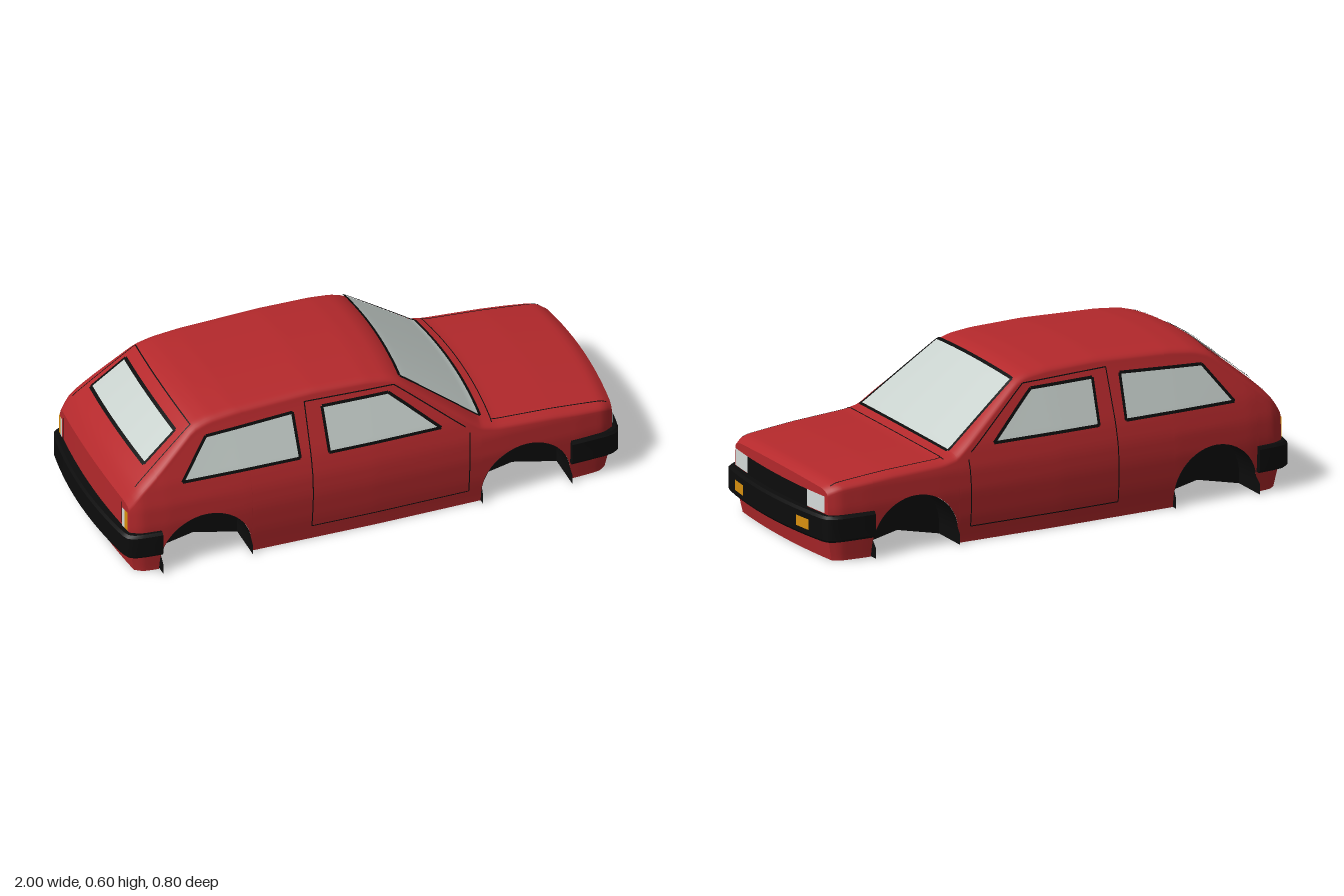
import * as THREE from 'three';
import { toCreasedNormals } from 'three/addons/utils/BufferGeometryUtils.js';

const material = (name, color) => {
  const m = new THREE.MeshStandardMaterial({ color, side: THREE.DoubleSide });
  m.name = name;
  return m;
};
const paint = material('red paint', 0xb5292c);
const black = material('black trim', 0x0c0c0c);
const glass = material('pale glass', 0xc8d1cd);
const amber = material('amber lens', 0xd9900f);
const lens = material('clear lens', 0xd6dcda);

// Piecewise-linear curve with softened corners
const curve = (pts) => {
  const at = (x) => {
    if (x <= pts[0][0]) return pts[0][1];
    for (let i = 1; i < pts.length; i++) {
      const [x0, y0] = pts[i - 1], [x1, y1] = pts[i];
      if (x <= x1) return y0 + (y1 - y0) * (x - x0) / (x1 - x0);
    }
    return pts[pts.length - 1][1];
  };
  return (x) => [-2, -1, 0, 1, 2].reduce((s, k) => s + at(x + k * 0.006), 0) / 5;
};
const clamp = THREE.MathUtils.clamp;

// Centreline height, plan half width, and side section (as a share of the half width)
const topLine = curve([[-0.94, 0.3], [-0.925, 0.335], [-0.895, 0.37], [-0.665, 0.56], [-0.6, 0.58],
  [-0.5, 0.592], [-0.2, 0.605], [0, 0.6], [0.08, 0.59], [0.12, 0.575], [0.42, 0.352], [0.48, 0.338],
  [0.7, 0.326], [0.9, 0.308], [0.925, 0.3], [0.94, 0.285]]);
const halfWidth = curve([[-0.94, 0.347], [-0.92, 0.366], [-0.9, 0.373], [-0.8, 0.383], [-0.5, 0.393],
  [0, 0.399], [0.5, 0.393], [0.8, 0.382], [0.9, 0.373], [0.92, 0.366], [0.94, 0.347]]);
const sideShare = curve([[0, 0.95], [0.1, 0.985], [0.2, 1], [0.28, 0.985], [0.36, 0.935],
  [0.57, 0.735], [0.62, 0.7]]);
const CROWN = 0.018, ROUND = 0.022, END = 0.94;
const sideZ = (u, y) => halfWidth(u) * sideShare(y);
const shoulder = (u) => topLine(u) - CROWN - ROUND;

// Bow the ends in plan and tuck them in at the sill
const warp = (u, y, z) => {
  const bow = 0.025 * (1 - (z / 0.38) ** 2) * clamp((u + 0.2) / 0.35, -1, 1);
  const tuck = Math.sign(u) * 0.025 * Math.max(0, 1 - y / 0.12) * clamp((Math.abs(u) - 0.85) / 0.09, 0, 1);
  return [u + bow - tuck, y, z];
};
const topY = (u, t) => {
  const c = clamp((t - 0.88) / 0.12, 0, 1);
  return topLine(u) - CROWN * t * t - ROUND * (1 - Math.sqrt(1 - c * c));
};

// Surface maps for details: body side, upper surface, nose and tail
const onSide = (s, off) => (u, y) => warp(u, y, s * (sideZ(u, y) + off));
const onTop = (off) => (u, z) => {
  const t = Math.min(1, Math.abs(z) / sideZ(u, shoulder(u)));
  const p = warp(u, topY(u, t), z);
  return [p[0] + off * Math.sign(u) * 0.6, p[1] + off, p[2]];
};
const onEnd = (s, off) => (z, y) => warp(s * (END + off), y, z);

// Indexed grid from fn(i, j)
const grid = (nu, nv, fn) => {
  const pos = [], idx = [];
  for (let i = 0; i <= nu; i++) for (let j = 0; j <= nv; j++) pos.push(...fn(i, j));
  for (let i = 0; i < nu; i++) for (let j = 0; j < nv; j++) {
    const a = i * (nv + 1) + j, b = a + nv + 1;
    idx.push(a, b, a + 1, b, b + 1, a + 1);
  }
  const g = new THREE.BufferGeometry();
  g.setAttribute('position', new THREE.Float32BufferAttribute(pos, 3));
  g.setIndex(idx);
  g.computeVertexNormals();
  return g;
};
// Four-cornered plate laid on a surface map
const patch = (map, [a, b, c, d], nu = 16, nv = 12) => grid(nu, nv, (i, j) => {
  const s = i / nu, t = j / nv;
  const mix = (k) => (a[k] * (1 - s) + b[k] * s) * (1 - t) + (d[k] * (1 - s) + c[k] * s) * t;
  return map(mix(0), mix(1));
});
const rect = (x0, x1, y0, y1) => [[x0, y0], [x1, y0], [x1, y1], [x0, y1]];
// Thin line from a to b on a surface map
const line = (map, a, b, w = 0.004) => {
  const dx = b[0] - a[0], dy = b[1] - a[1], k = w / 2 / Math.hypot(dx, dy);
  const n = [-dy * k, dx * k];
  return patch(map, [[a[0] - n[0], a[1] - n[1]], [b[0] - n[0], b[1] - n[1]],
    [b[0] + n[0], b[1] + n[1]], [a[0] + n[0], a[1] + n[1]]], 24, 1);
};

const ARCHES = [-0.655, 0.595], R = 0.175, ARCH_Y = 0.04;

export function createModel() {
  const car = new THREE.Group();
  car.name = 'hatchback';
  const add = (name, geometry, mat) => {
    const m = new THREE.Mesh(geometry, mat);
    m.name = name;
    car.add(m);
  };

  // Body stations [u, lower edge], with the wheel arches cut into the lower edge
  const stations = [];
  for (let i = 0; i <= 110; i++) {
    const u = -END + 2 * END * i / 110;
    if (ARCHES.every((c) => Math.abs(u - c) > R + 0.003)) stations.push([u, 0]);
  }
  for (const c of ARCHES) {
    stations.push([c - R - 0.001, 0], [c + R + 0.001, 0]);
    for (let k = 0; k <= 24; k++) {
      const a = Math.PI * k / 24;
      stations.push([c - R * Math.cos(a), ARCH_Y + R * Math.sin(a)]);
    }
  }
  stations.sort((a, b) => a[0] - b[0]);
  const NS = 22, NT = 18, N = NS + NT;
  const section = (u, low, k) => {
    const ys = shoulder(u);
    if (k <= NS) {
      const y = low + (ys - low) * k / NS;
      return [sideZ(u, y), y];
    }
    const t = Math.cos((k - NS) / NT * Math.PI / 2);
    return [sideZ(u, ys) * t, topY(u, t)];
  };
  add('bodyShell', grid(stations.length - 1, 2 * N, (i, j) => {
    const [u, low] = stations[i];
    const [z, y] = section(u, low, j <= N ? j : 2 * N - j);
    return warp(u, y, j <= N ? z : -z);
  }), paint);
  for (const s of [-1, 1]) {
    add(s > 0 ? 'nosePanel' : 'tailPanel', grid(N, 12, (i, j) => {
      const [z, y] = section(s * END, 0, i);
      return warp(s * END, y, z * (j / 6 - 1));
    }), paint);
  }

  // Wheel wells: tunnel and inner wall
  for (const c of ARCHES) for (const s of [-1, 1]) {
    const path = [[c - R, 0]];
    for (let k = 0; k <= 24; k++) {
      const a = Math.PI * k / 24;
      path.push([c - R * Math.cos(a), ARCH_Y + R * Math.sin(a)]);
    }
    path.push([c + R, 0]);
    const last = path.length - 1;
    add('wheelWell', grid(last, 1, (i, j) => {
      const [x, y] = path[i];
      const outer = y <= ARCH_Y + 0.001 ? 0.398 : sideZ(x, y) + 0.001;
      return [x, y, s * (j ? 0.24 : outer)];
    }), black);
    add('wheelWellWall', grid(last, 1, (i, j) =>
      j ? [path[i][0], path[i][1], s * 0.24] : [c, ARCH_Y, s * 0.24]), black);
  }

  // Glazing with black seals, on the outer and inner faces
  const glaze = (name, map, quad) => {
    for (const d of [1, -1]) {
      add(name, patch(map(0.004 * d), quad, 20, 20), glass);
      quad.forEach((p, i) => add(name + 'Seal', line(map(0.006 * d), p, quad[(i + 1) % 4], 0.011), black));
    }
  };
  for (const s of [-1, 1]) {
    const map = (off) => onSide(s, off);
    glaze('rearSideWindow', map, [[-0.74, 0.362], [-0.285, 0.362], [-0.29, 0.527], [-0.625, 0.508]]);
    glaze('doorWindow', map, [[-0.172, 0.36], [0.265, 0.36], [0.075, 0.525], [-0.178, 0.527]]);
  }
  glaze('windscreen', onTop, [[0.125, -0.28], [0.425, -0.33], [0.425, 0.33], [0.125, 0.28]]);
  glaze('rearWindow', onTop, [[-0.84, -0.268], [-0.71, -0.25], [-0.71, 0.25], [-0.84, 0.268]]);

  // Panel seams
  const seams = (name, map, pts) => {
    for (let i = 1; i < pts.length; i++) add(name, line(map, pts[i - 1], pts[i], 0.004), black);
  };
  for (const s of [-1, 1]) {
    seams('doorSeam', onSide(s, 0.002),
      [[0.1, 0.545], [-0.24, 0.553], [-0.245, 0.06], [0.37, 0.06], [0.375, 0.315]]);
    seams('pillarSeam', onSide(s, 0.002), [[0.1, 0.545], [0.36, 0.34]]);
    seams('bonnetSideSeam', onTop(0.002), [[0.465, s * 0.345], [0.92, s * 0.335]]);
    seams('tailgateSideSeam', onTop(0.002), [[-0.665, s * 0.275], [-0.9, s * 0.315]]);
    seams('tailgateEdge', onEnd(-1, 0.002), [[s * 0.29, 0.28], [s * 0.29, 0.19]]);
  }
  seams('bonnetSeam', onTop(0.002), [[0.465, -0.36], [0.465, 0.36]]);
  seams('tailgateSeam', onTop(0.002), [[-0.665, -0.275], [-0.665, 0.275]]);

  // Grille and lamps
  add('grille', patch(onEnd(1, 0.004), rect(-0.225, 0.225, 0.17, 0.248)), black);
  for (const s of [-1, 1]) {
    add('headlight', patch(onEnd(1, 0.005), rect(s * 0.225, s * 0.336, 0.185, 0.249)), lens);
    add('tailIndicator', patch(onEnd(-1, 0.005), rect(s * 0.322, s * 0.345, 0.185, 0.265)), amber);
    add('reverseLight', patch(onEnd(-1, 0.005), rect(s * 0.302, s * 0.322, 0.185, 0.265)), lens);
    add('frontIndicator', patch((z, y) => [1.004 - 0.25 * z * z, y, z],
      rect(s * 0.2, s * 0.276, 0.11, 0.15)), amber);
  }

  // Wrap-around bumpers with chamfered section [inset, y]
  const profile = [[0.04, 0.08], [0.008, 0.08], [0, 0.09], [0, 0.17], [0.008, 0.18], [0.04, 0.18], [0.04, 0.08]];
  for (const s of [-1, 1]) {
    const half = [[s > 0 ? 0.77 : 0.83, 0.397], [0.9, 0.391], [0.94, 0.384], [0.96, 0.37], [0.97, 0.345]];
    for (let z = 0.3; z > 0.01; z -= 0.06) half.push([1 - 0.25 * z * z, z]);
    const path = [...half, [1, 0], ...half.slice().reverse().map(([x, z]) => [x, -z])];
    const ring = [path[0], ...path, path[path.length - 1]];
    const g = grid(ring.length - 1, profile.length - 1, (i, j) => {
      const closed = i === 0 || i === ring.length - 1;
      const [inset, y] = closed ? [0.02, 0.13] : profile[j];
      const [x, z] = ring[i];
      return [s * x * (1 - inset * clamp((x - 0.85) / 0.1, 0, 1)), y, z * (1 - inset / 0.4)];
    });
    add(s > 0 ? 'frontBumper' : 'rearBumper', toCreasedNormals(g, 0.6), black);
  }
  return car;
}
